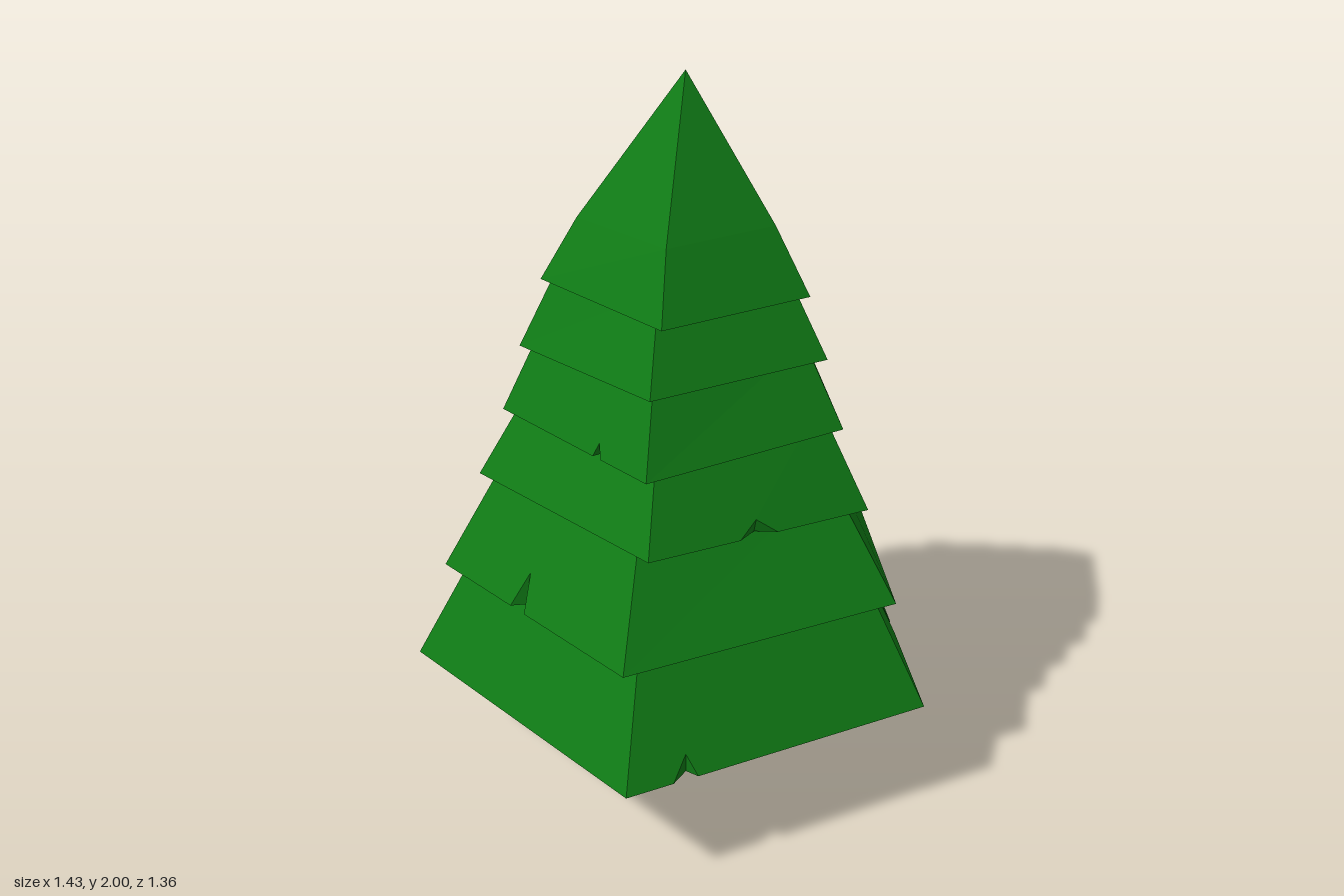
import * as THREE from 'three';

const SIDES = 5;
const AXIS_Z = 0.07;
const TIP = new THREE.Vector3(0.02, 2, 0.066);

// Slightly twisted, tilted pentagon tiers: lower rim height and radius,
// upper rim height and scale. Notches are [side, position along side, width, height].
const TIERS = [
  { y: 0.33, radius: 0.75, top: 0.7, scale: 0.73,
    notches: [[0, 0.57, 0.06, 0.1], [1, 0.81, 0.07, 0.06], [3, 0.32, 0.08, 0.05], [4, 0.82, 0.04, 0.04]] },
  { y: 0.62, radius: 0.66, top: 0.98, scale: 0.68, twist: 0.033, tiltX: 0.044,
    notches: [[2, 0.57, 0.06, 0.1], [4, 0.55, 0.04, 0.04]] },
  { y: 0.89, radius: 0.549, top: 1.16, scale: 0.73, twist: -0.042, tiltZ: 0.045,
    notches: [[1, 0.51, 0.11, 0.04], [3, 0.55, 0.05, 0.05]] },
  { y: 1.106, radius: 0.476, top: 1.34, scale: 0.75, twist: -0.01, tiltZ: -0.038,
    notches: [[2, 0.33, 0.03, 0.035], [3, 0.6, 0.04, 0.04]] },
  { y: 1.284, radius: 0.424, top: 1.53, scale: 0.7, twist: -0.015, tiltX: 0.037,
    notches: [[0, 0.72, 0.03, 0.035]] },
  { y: 1.463, radius: 0.363, top: 1.63, scale: 0.73, twist: -0.067, tiltX: -0.029, tip: TIP,
    notches: [[4, 0.52, 0.04, 0.035]] },
];

function tierGeometry({ y, radius, top, scale, twist = 0, tiltX = 0, tiltZ = 0, tip, notches }) {
  const positions = [];
  const tri = (...pts) => pts.forEach((p) => positions.push(p.x, p.y, p.z));
  const centre = new THREE.Vector3(0, y, AXIS_Z);
  const lower = [], upper = [];
  for (let i = 0; i < SIDES; i++) {
    const angle = (i / SIDES) * Math.PI * 2 + twist;
    const x = radius * Math.sin(angle), z = -radius * Math.cos(angle);
    lower.push(new THREE.Vector3(x, y + tiltX * x + tiltZ * z, AXIS_Z + z));
    upper.push(new THREE.Vector3(x * scale, top, AXIS_Z + z * scale));
  }

  lower.forEach((a, i) => {
    const j = (i + 1) % SIDES;
    const b = lower[j], ua = upper[i], ub = upper[j];
    const notch = notches.find((n) => n[0] === i);
    if (notch) {
      // sloping side with a wedge cut out of its lower edge
      const [, t, width, height] = notch;
      const half = width / 2 / a.distanceTo(b);
      const n1 = a.clone().lerp(b, t - half);
      const n2 = a.clone().lerp(b, t + half);
      const mid = a.clone().lerp(b, t);
      const peak = mid.clone().lerp(ua.clone().lerp(ub, t), height / (top - mid.y));
      const inner = mid.clone().lerp(centre, (0.015 + height * 0.35) / mid.distanceTo(centre));
      tri(a, ua, n1);
      tri(n1, ua, peak);
      tri(peak, ua, ub);
      tri(peak, ub, n2);
      tri(n2, ub, b);
      tri(n1, peak, inner);
      tri(inner, peak, n2);
      const rim = [a, n1, inner, n2, b];
      for (let k = 0; k < 4; k++) tri(centre, rim[k], rim[k + 1]);
    } else {
      tri(a, ua, b);
      tri(ua, ub, b);
      tri(centre, a, b);
    }
    // pointed crown
    if (tip) tri(ua, tip, ub);
  });

  const geometry = new THREE.BufferGeometry();
  geometry.setAttribute('position', new THREE.Float32BufferAttribute(positions, 3));
  geometry.computeVertexNormals();
  return geometry;
}

export function createModel() {
  const tree = new THREE.Group();
  tree.name = 'pineTree';

  const leafMaterial = new THREE.MeshStandardMaterial({ color: 0x107c16, flatShading: true, side: THREE.DoubleSide });
  const barkMaterial = new THREE.MeshStandardMaterial({ color: 0x664734, flatShading: true });

  // foliage, lowest tier first
  const foliage = new THREE.Group();
  foliage.name = 'foliage';
  TIERS.forEach((tier, i) => {
    const mesh = new THREE.Mesh(tierGeometry(tier), leafMaterial);
    mesh.name = `foliageTier${i + 1}`;
    foliage.add(mesh);
  });
  tree.add(foliage);

  // square tapered trunk
  const trunkGeometry = new THREE.CylinderGeometry(0.06 * Math.SQRT2, 0.082 * Math.SQRT2, 0.42, 4);
  trunkGeometry.rotateY(Math.PI / 4);
  const trunk = new THREE.Mesh(trunkGeometry, barkMaterial);
  trunk.name = 'trunk';
  trunk.position.set(0, 0.21, AXIS_Z);
  tree.add(trunk);

  return tree;
}
